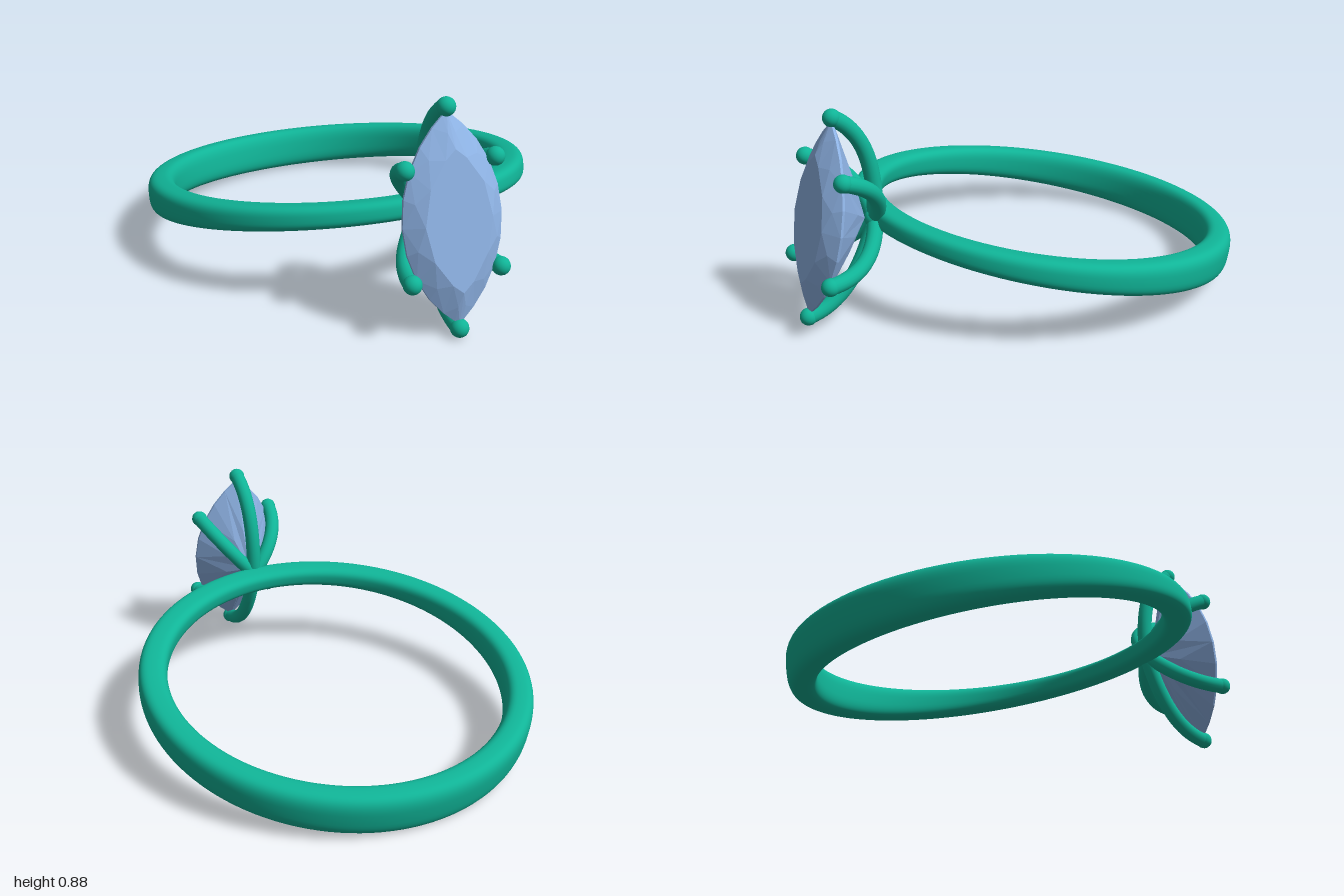
import * as THREE from 'three';
import { ParametricGeometry } from 'three/addons/geometries/ParametricGeometry.js';

const metal = new THREE.MeshStandardMaterial({ color: 0x10b497 });
const gemBlue = new THREE.MeshStandardMaterial({ color: 0x8fb4e6, flatShading: true });

// Band: rounded-rectangle section swept round a circle, tallest at the back
function makeBand() {
  const radius = 0.785, halfThick = 0.06;
  const soft = (c) => Math.sign(c) * Math.pow(Math.abs(c), 2 / 3);
  const geometry = new ParametricGeometry((u, v, target) => {
    const a = u * Math.PI * 2, p = v * Math.PI * 2;
    const r = radius + halfThick * soft(Math.cos(p));
    const halfHeight = 0.07 - 0.025 * Math.cos(a);
    target.set(r * Math.sin(a), halfHeight * soft(Math.sin(p)), r * Math.cos(a));
  }, 128, 48);
  const band = new THREE.Mesh(geometry, metal);
  band.name = 'band';
  return band;
}

// Stone: pointed-oval brilliant cut, its table facing +z
function makeStone() {
  const length = 0.396, width = 0.205, mains = 12;
  const R = (length * length + width * width) / (2 * width);
  const point = (k, scale, z) => {
    const a = (k / mains) * Math.PI * 2;
    const y = length * Math.cos(a);
    const x = Math.max(0, Math.sqrt(R * R - y * y) - (R - width));
    return [-Math.sign(Math.sin(a)) * x * scale, y * scale, z];
  };
  const table = (k) => point(k, 0.67, 1.125);
  const crown = (k) => point(k + 0.5, 0.84, 1.103);
  const girdleTop = (k) => point(k, 1, 1.076);
  const girdleLow = (k) => point(k, 1, 1.066);
  const pavilion = (k) => point(k + 0.5, 0.45, 0.956);
  const tableCentre = [0, 0, 1.125], culet = [0, 0, 0.88];

  const positions = [];
  const tri = (a, b, c) => positions.push(...a, ...b, ...c);
  for (let k = 0; k < mains; k++) {
    // table, star and kite facets
    tri(tableCentre, table(k), table(k + 1));
    tri(table(k), crown(k), table(k + 1));
    tri(table(k), crown(k - 1), girdleTop(k));
    tri(table(k), girdleTop(k), crown(k));
    // pavilion mains
    tri(culet, girdleLow(k), pavilion(k - 1));
    tri(culet, pavilion(k), girdleLow(k));
    // facets beside the girdle, and the girdle itself
    for (const s of [k, k + 0.5]) {
      const e = s + 0.5;
      tri(crown(k), girdleTop(s), girdleTop(e));
      tri(pavilion(k), girdleLow(e), girdleLow(s));
      tri(girdleTop(s), girdleLow(s), girdleLow(e));
      tri(girdleTop(s), girdleLow(e), girdleTop(e));
    }
  }
  const geometry = new THREE.BufferGeometry();
  geometry.setAttribute('position', new THREE.Float32BufferAttribute(positions, 3));
  geometry.computeVertexNormals();
  const stone = new THREE.Mesh(geometry, gemBlue);
  stone.name = 'stone';
  return stone;
}

// Prong: curved wire from the band to the stone's edge, with a round tip
function makeProng(x, y, z) {
  const prong = new THREE.Group();
  prong.name = 'prong';
  const tip = new THREE.Vector3(x, y, z);
  const curve = new THREE.QuadraticBezierCurve3(
    new THREE.Vector3(0, 0, 0.835),
    new THREE.Vector3(x * 0.84, y * 0.84, 0.875),
    tip
  );
  const wire = new THREE.Mesh(new THREE.TubeGeometry(curve, 32, 0.033, 16), metal);
  wire.name = 'prongWire';
  const ball = new THREE.Mesh(new THREE.SphereGeometry(0.036, 20, 14), metal);
  ball.name = 'prongTip';
  ball.position.copy(tip);
  prong.add(wire, ball);
  return prong;
}

export function createModel() {
  const model = new THREE.Group();
  model.name = 'ring';

  // Everything is built level, then tipped up at the front
  const tilted = new THREE.Group();
  tilted.name = 'tiltedRing';
  tilted.position.set(0, 0.251, -0.165);
  tilted.rotation.x = -0.187;

  const setting = new THREE.Group();
  setting.name = 'setting';
  for (const sy of [1, -1]) {
    setting.add(makeProng(0, sy * 0.413, 1.074));
    for (const sx of [1, -1]) setting.add(makeProng(sx * 0.185, sy * 0.208, 1.084));
  }
  // Joint where the prongs meet the band
  const joint = new THREE.Mesh(new THREE.SphereGeometry(0.042, 20, 14), metal);
  joint.name = 'prongJoint';
  joint.position.z = 0.838;
  setting.add(joint);

  tilted.add(makeBand(), makeStone(), setting);
  model.add(tilted);
  return model;
}
